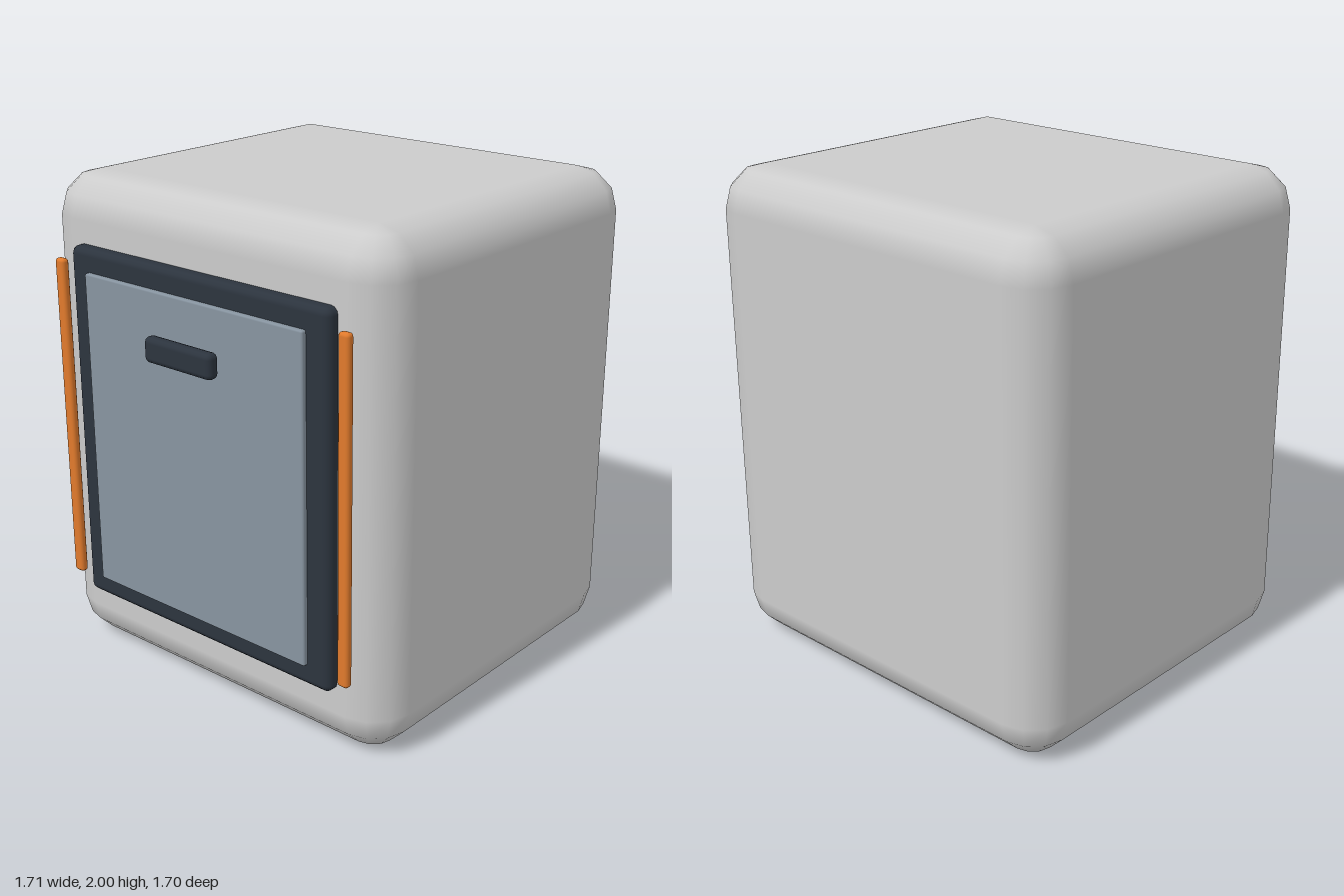
import * as THREE from 'three';

const GREY = 0xcccccc, DARK = 0x2c343e, STEEL = 0x8794a0, ORANGE = 0xe07a2c;

// Box with bevelled edges of n segments: a grid wrapped round as a sphere,
// its eight octants pushed apart to the corners, first and last rows closing the caps.
function bevelBox(w, h, d, r, n) {
  const k = n + 1, cols = 4 * k, rows = 2 * k + 1;
  const geo = new THREE.PlaneGeometry(1, 1, cols, rows);
  const pos = geo.attributes.position, nor = geo.attributes.normal;
  const core = new THREE.Vector3(w / 2 - r, h / 2 - r, d / 2 - r);
  const q = Math.PI / 2;
  for (let j = 0; j <= rows; j++) {
    for (let i = 0; i <= cols; i++) {
      const id = j * (cols + 1) + i, c = i % cols;
      const quarter = Math.floor(c / k), a = q * (quarter + (c % k) / n);
      const sx = Math.sign(Math.sin(q * (quarter + 0.5)));
      const sz = Math.sign(Math.cos(q * (quarter + 0.5)));
      if (j === 0 || j === rows) {
        const s = j === 0 ? 1 : -1;
        pos.setXYZ(id, 0, s * h / 2, 0);
        nor.setXYZ(id, 0, s, 0);
        continue;
      }
      const row = j - 1, upper = row < k;
      const lat = upper ? q * (1 - row / n) : -q * (row - k) / n;
      const dir = new THREE.Vector3(
        Math.sin(a) * Math.cos(lat), Math.sin(lat), Math.cos(a) * Math.cos(lat));
      pos.setXYZ(id, sx * core.x + r * dir.x, (upper ? 1 : -1) * core.y + r * dir.y, sz * core.z + r * dir.z);
      nor.setXYZ(id, dir.x, dir.y, dir.z);
    }
  }
  return geo;
}

// Places a bevelled box by its extents on each axis
function part(name, color, [x0, x1], [y0, y1], [z0, z1], r, n) {
  const mesh = new THREE.Mesh(
    bevelBox(x1 - x0, y1 - y0, z1 - z0, r, n),
    new THREE.MeshStandardMaterial({ color }));
  mesh.position.set((x0 + x1) / 2, (y0 + y1) / 2, (z0 + z1) / 2);
  mesh.name = name;
  return mesh;
}

export function createModel() {
  const model = new THREE.Group();
  model.name = 'cabinet';

  // Rounded cabinet shell
  model.add(part('body', GREY, [-0.855, 0.855], [0, 2], [-0.85, 0.715], 0.17, 3));

  // Door: dark surround, inset panel and a floating grip
  model.add(part('doorFrame', DARK, [-0.65, 0.65], [0.27, 1.74], [0.665, 0.765], 0.03, 3));
  model.add(part('doorPanel', STEEL, [-0.55, 0.55], [0.36, 1.65], [0.735, 0.785], 0.008, 2));
  model.add(part('handle', DARK, [-0.17, 0.17], [1.395, 1.495], [0.795, 0.85], 0.022, 3));

  // Accent strip either side of the door
  for (const [name, x] of [['leftStrip', 0.715], ['rightStrip', -0.715]]) {
    model.add(part(name, ORANGE, [x - 0.025, x + 0.025], [0.33, 1.675], [0.735, 0.77], 0.014, 3));
  }
  return model;
}
